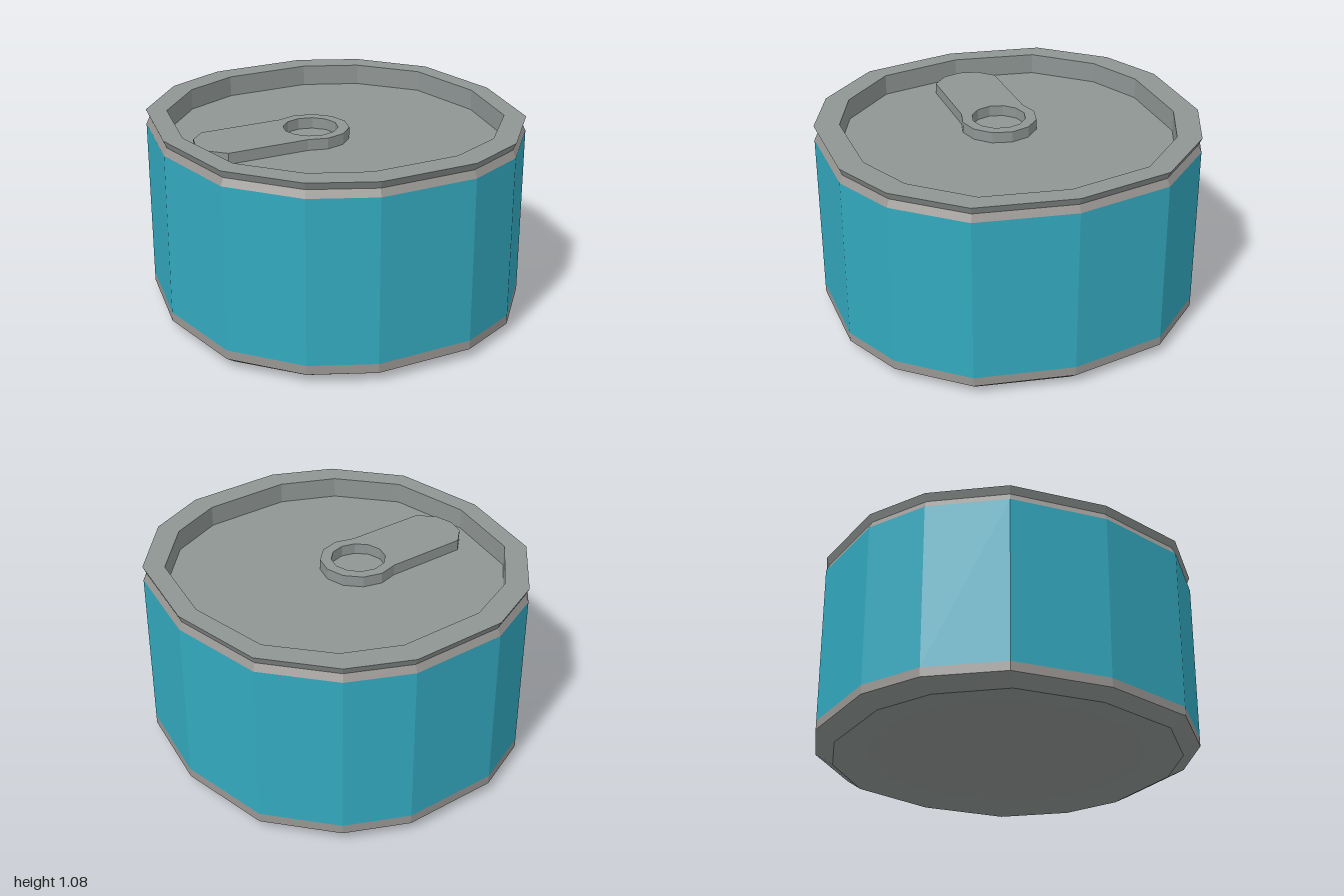
import * as THREE from 'three';

const material = (name, color) => {
  const m = new THREE.MeshStandardMaterial({ color });
  m.name = name;
  return m;
};

// One quarter of the fourteen-sided outline, mirrored to a full loop
// running counterclockwise as seen from above.
const quarter = [[0.98, 0], [0.885, 0.523], [0.597, 0.852], [0.267, 1]];
const outline = [
  ...quarter.map(([x, z]) => [x, -z]),
  ...quarter.slice(1).reverse().map(([x, z]) => [-x, -z]),
  ...quarter.map(([x, z]) => [-x, z]),
  ...quarter.slice(1).reverse().map(([x, z]) => [x, z]),
];

// Faceted skin through levels of [x scale, z scale, y].
function skin(levels) {
  const pos = [];
  const n = outline.length;
  const point = ([sx, sz, y], i) => {
    const [x, z] = outline[i % n];
    return [x * sx, y, z * sz];
  };
  for (let l = 0; l < levels.length - 1; l++) {
    const [low, high] = [levels[l], levels[l + 1]];
    for (let i = 0; i < n; i++) {
      const a = point(low, i), b = point(low, i + 1);
      const c = point(high, i + 1), d = point(high, i);
      if (low[0] > 0) pos.push(...a, ...b, ...c);
      else pos.push(...a, ...c, ...d);
      if (low[0] > 0 && high[0] > 0) pos.push(...a, ...c, ...d);
    }
  }
  const g = new THREE.BufferGeometry();
  g.setAttribute('position', new THREE.Float32BufferAttribute(pos, 3));
  g.computeVertexNormals();
  return g;
}

// Pull tab: a rounded bar running into a twelve-sided finger ring.
function tabGeometry(thickness) {
  const cx = -0.145, r = 0.208;
  const circle = (radius, from, to) => {
    const pts = [];
    for (let i = from; i <= to; i++) {
      const a = (i * Math.PI) / 6;
      pts.push(new THREE.Vector2(cx + radius * Math.cos(a), radius * Math.sin(a)));
    }
    return pts;
  };
  const end = [[-0.7, 0.18], [-0.78, 0.1], [-0.805, 0], [-0.78, -0.1], [-0.7, -0.18]];
  const shape = new THREE.Shape([
    ...circle(r, -4, 4),
    ...end.map(([x, y]) => new THREE.Vector2(x, y)),
  ]);
  shape.holes.push(new THREE.Path(circle(0.148, 0, 11).reverse()));
  const g = new THREE.ExtrudeGeometry(shape, { depth: thickness, bevelEnabled: false });
  return g.rotateX(-Math.PI / 2);
}

export function createModel() {
  const label = material('teal label', 0x33a9bf);
  const metal = material('warm grey metal', 0x999693);
  const lidMetal = material('cool grey metal', 0x8e9593);
  for (const m of [label, metal, lidMetal]) m.flatShading = true;

  const can = new THREE.Group();
  can.name = 'can';
  const add = (name, geometry, mat) => {
    const mesh = new THREE.Mesh(geometry, mat);
    mesh.name = name;
    can.add(mesh);
    return mesh;
  };

  const floorY = 0.965;

  // Shallow hollow underside and chamfered foot
  add('base', skin([[0, 0, 0.03], [0.74, 0.72, 0.03], [0.93, 0.9, 0], [1, 1, 0.055]]), lidMetal);
  add('lowerBand', skin([[1, 1, 0.055], [1, 1, 0.105]]), metal);
  add('labelWall', skin([[1, 1, 0.105], [1, 1, 1]]), label);
  // Pinched neck below the rim
  add('neck', skin([[1, 1, 1], [0.982, 0.982, 1.04]]), metal);
  // Flared rim, inner wall and sunken lid
  add('rimAndLid', skin([
    [0.982, 0.982, 1.04], [1, 1, 1.08], [0.893, 0.866, 1.08],
    [0.893, 0.866, floorY], [0, 0, floorY],
  ]), lidMetal);

  add('pullTab', tabGeometry(0.06), lidMetal).position.y = floorY;

  return can;
}
